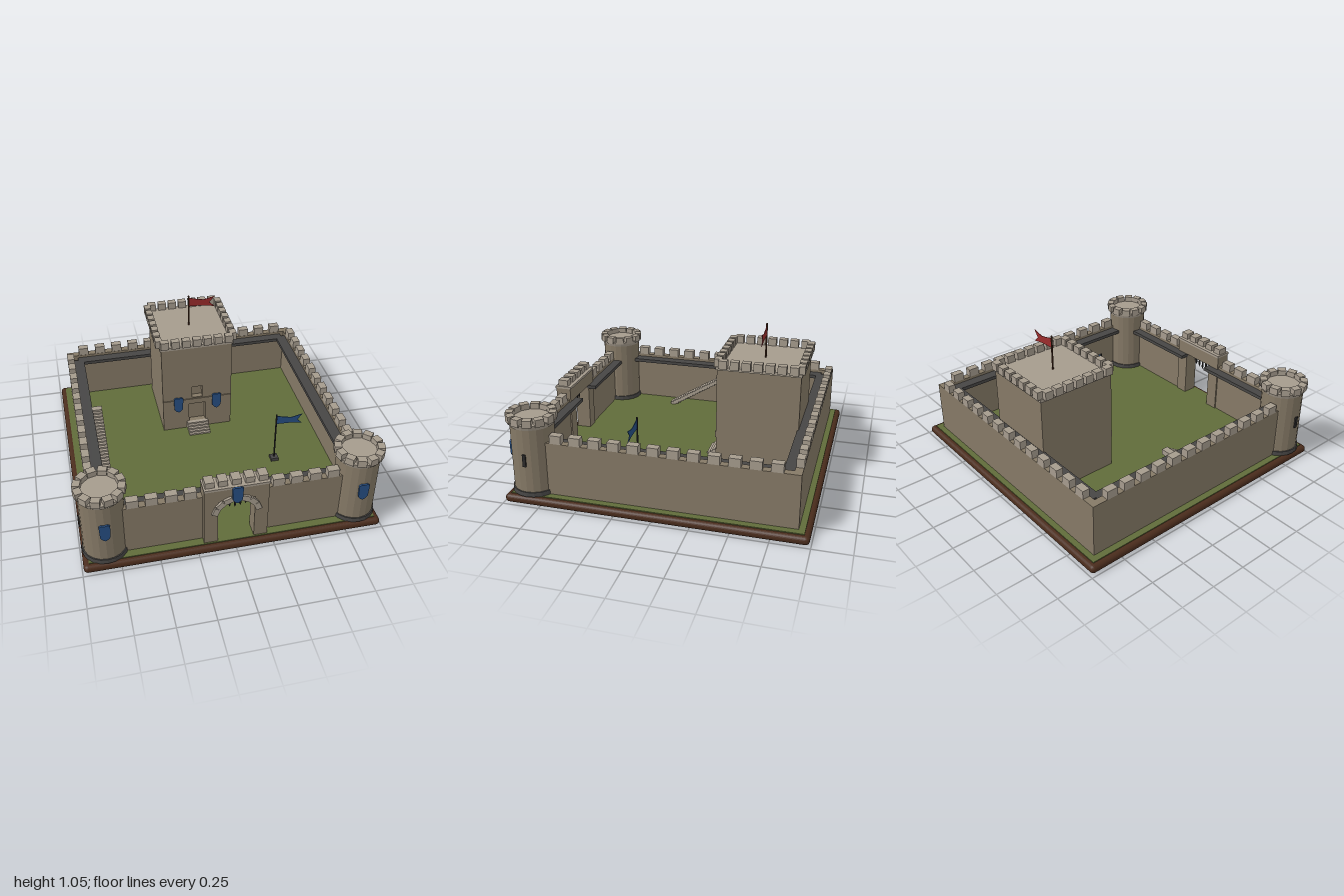
import * as THREE from 'three';
import { RoundedBoxGeometry } from 'three/addons/geometries/RoundedBoxGeometry.js';

const mat = (color, side = THREE.FrontSide) =>
  new THREE.MeshStandardMaterial({ color, side, flatShading: true });

export function createModel() {
  const root = new THREE.Group();
  const stone = mat(0x857966), light = mat(0xa59b8d), dark = mat(0x474645);
  const wood = mat(0x4a2c1c), grass = mat(0x606c3a), iron = mat(0x2c2b2b);
  const blue = mat(0x264e82, THREE.DoubleSide), red = mat(0x9a2c2c, THREE.DoubleSide);
  const GROUND = 0.066, WALL = 0.43;

  const group = (name, parent = root) => {
    const g = new THREE.Group();
    g.name = name;
    parent.add(g);
    return g;
  };
  const add = (parent, name, geo, m, x = 0, y = 0, z = 0) => {
    const mesh = new THREE.Mesh(geo, m);
    mesh.name = name;
    mesh.position.set(x, y, z);
    parent.add(mesh);
    return mesh;
  };
  // Box given by its lower and upper limits on each axis
  const box = (parent, name, m, x0, x1, y0, y1, z0, z1) =>
    add(parent, name, new THREE.BoxGeometry(x1 - x0, y1 - y0, z1 - z0), m,
      (x0 + x1) / 2, (y0 + y1) / 2, (z0 + z1) / 2);
  const polygon = pts => new THREE.Shape(pts.map(p => new THREE.Vector2(...p)));
  const plate = (shape, depth) => new THREE.ExtrudeGeometry(shape, { depth, bevelEnabled: false });

  // Shields and swallow-tailed flags
  const shieldGeo = plate(polygon([[-0.035, 0.055], [-0.02, 0.065], [0, 0.06], [0.02, 0.065], [0.035, 0.055],
    [0.032, -0.035], [0.018, -0.055], [0, -0.065], [-0.018, -0.055], [-0.032, -0.035]]), 0.012);
  const shield = (parent, x, y, z) => add(parent, 'shield', shieldGeo, blue, x, y, z);
  const flagGeo = plate(polygon([[0, 0.035], [0.06, 0.018], [0.11, 0.008], [0.19, 0.025],
    [0.155, -0.018], [0.19, -0.055], [0.11, -0.04], [0, -0.035]]), 0.004);
  const flag = (parent, m, poleMat, x, z, y0, y1, flagY) => {
    add(parent, 'flagPole', new THREE.CylinderGeometry(0.006, 0.006, y1 - y0, 8), poleMat, x, (y0 + y1) / 2, z);
    add(parent, 'flag', flagGeo, m, x, flagY, z - 0.002);
  };

  // Base board and lawn
  const base = group('base');
  add(base, 'baseBoard', new RoundedBoxGeometry(1.98, 0.056, 1.98, 3, 0.026), wood, 0, 0.032, 0);
  box(base, 'baseUnderside', mat(0x2a1b12), -0.96, 0.96, 0, 0.02, -0.96, 0.96);
  box(base, 'lawn', grass, -0.955, 0.955, 0.04, GROUND, -0.955, 0.955);

  // Curtain walls with merlons and inner walkways
  const walls = group('curtainWalls');
  box(walls, 'backWall', stone, -0.91, 0.91, GROUND, WALL, -0.915, -0.865);
  box(walls, 'backWalkway', dark, -0.83, 0.83, 0.385, 0.41, -0.866, -0.795);
  for (let i = -6; i <= 6; i++)
    box(walls, 'backMerlon', light, i * 0.13 - 0.037, i * 0.13 + 0.037, WALL, 0.487, -0.917, -0.867);
  for (const s of [-1, 1]) {
    const span = (a, b) => (s > 0 ? [a, b] : [-b, -a]);
    box(walls, 'sideWall', stone, ...span(0.86, 0.91), GROUND, WALL, -0.9, 0.75);
    box(walls, 'sideWalkway', dark, ...span(0.785, 0.861), 0.385, 0.41, -0.83, 0.7);
    for (let i = 0; i < 12; i++) {
      const z = 0.643 - i * 0.1285;
      box(walls, 'sideMerlon', light, ...span(0.86, 0.912), WALL, 0.487, z - 0.038, z + 0.038);
    }
    box(walls, 'frontWall', stone, ...span(0.2, 0.75), GROUND, WALL, 0.85, 0.9);
    box(walls, 'frontWalkway', dark, ...span(0.12, 0.7), 0.385, 0.41, 0.785, 0.851);
    for (const x of [0.285, 0.405, 0.53, 0.65])
      box(walls, 'frontMerlon', light, ...span(x - 0.039, x + 0.039), WALL, 0.487, 0.85, 0.902);
  }

  // Round corner towers
  for (const s of [-1, 1]) {
    const t = group(s > 0 ? 'leftTower' : 'rightTower');
    t.position.set(s * 0.835, 0, 0.83);
    const drum = (name, m, r0, r1, y0, y1) =>
      add(t, name, new THREE.CylinderGeometry(r1, r0, y1 - y0, 20), m, 0, (y0 + y1) / 2, 0);
    drum('towerFoot', dark, 0.153, 0.15, GROUND, 0.096);
    drum('towerBody', stone, 0.142, 0.142, 0.09, 0.54);
    drum('towerCrown', light, 0.148, 0.16, 0.535, 0.57);
    for (let i = 0; i < 12; i++) {
      const a = (i + 0.5) * Math.PI / 6;
      const m = add(t, 'towerMerlon', new THREE.BoxGeometry(0.058, 0.05, 0.048), light,
        0.138 * Math.sin(a), 0.583, 0.138 * Math.cos(a));
      m.rotation.y = a;
    }
    shield(t, 0, 0.335, 0.142);
    box(t, 'arrowSlit', iron, s * 0.142 - 0.008, s * 0.142 + 0.008, 0.28, 0.365, -0.011, 0.011);
  }

  // Gatehouse with arch stones and portcullis
  const gate = group('gatehouse');
  for (const s of [-1, 1])
    box(gate, 'gatePillar', stone, s * 0.165 - 0.045, s * 0.165 + 0.045, GROUND, 0.42, 0.84, 0.945);
  box(gate, 'gateLintel', stone, -0.21, 0.21, 0.41, 0.51, 0.84, 0.945);
  box(gate, 'gateRoof', light, -0.213, 0.213, 0.508, 0.524, 0.834, 0.95);
  for (let i = -2; i <= 2; i++)
    box(gate, 'gateMerlon', light, i * 0.086 - 0.03, i * 0.086 + 0.03, 0.52, 0.568, 0.86, 0.93);
  for (let i = -3; i <= 3; i++) {
    const a = i * 0.4;
    const m = add(gate, 'archStone', new THREE.BoxGeometry(0.056, 0.04, 0.03), light,
      0.145 * Math.sin(a), 0.285 + 0.145 * Math.cos(a), 0.946);
    m.rotation.z = -a;
  }
  for (let i = -2; i <= 2; i++) {
    const drop = 0.325 + Math.abs(i) * 0.008;
    box(gate, 'portcullisBar', iron, i * 0.035 - 0.005, i * 0.035 + 0.005, drop, 0.42, 0.895, 0.905);
    add(gate, 'portcullisTip', new THREE.ConeGeometry(0.008, 0.022, 4), iron, i * 0.035, drop - 0.01, 0.9)
      .rotation.x = Math.PI;
  }
  box(gate, 'portcullisRail', iron, -0.12, 0.12, 0.375, 0.385, 0.896, 0.904);
  shield(gate, 0, 0.465, 0.956);

  // Keep: main block plus a front skin pierced by door and window
  const keep = group('keep');
  box(keep, 'keepBody', stone, -0.26, 0.26, GROUND, 0.79, -0.805, -0.285);
  const rect = (x, y0, y1) => [[-x, y0], [x, y0], [x, y1], [-x, y1]];
  const front = polygon(rect(0.26, GROUND, 0.79));
  front.holes.push(polygon(rect(0.063, 0.125, 0.29)), polygon(rect(0.04, 0.345, 0.44)));
  add(keep, 'keepFront', plate(front, 0.04), stone, 0, 0, -0.285);
  box(keep, 'keepBand', stone, -0.26, 0.26, 0.292, 0.335, -0.25, -0.238);
  for (const s of [-1, 1]) shield(keep, s * 0.145, 0.3, -0.236);
  box(keep, 'keepRoof', light, -0.27, 0.27, 0.785, 0.808, -0.812, -0.238);
  for (let i = -3; i <= 3; i++) for (const z of [-0.803, -0.25])
    box(keep, 'keepMerlon', light, i * 0.078 - 0.029, i * 0.078 + 0.029, 0.803, 0.86, z - 0.024, z + 0.024);
  for (let i = 0; i < 7; i++) for (const x of [-0.272, 0.272]) {
    const z = -0.29 - i * 0.0785;
    box(keep, 'keepMerlon', light, x - 0.024, x + 0.024, 0.803, 0.86, z - 0.029, z + 0.029);
  }
  for (let i = 0; i < 5; i++)
    box(keep, 'doorStep', light, -0.08, 0.08, GROUND, 0.078 + i * 0.012, -0.245, -0.14 - i * 0.019);
  flag(keep, red, wood, 0, -0.525, 0.8, 1.05, 1.0);

  // Stair up to the right-hand walkway
  const stair = group('wallStair');
  const STEPS = 26;
  for (let i = 0; i < STEPS; i++) {
    const z = 0.37 - i * 0.0203, y = 0.085 + i * 0.0125;
    box(stair, 'stairStep', light, -0.787, -0.718, Math.max(GROUND, y - 0.035), y, z - 0.0215, z);
  }
  box(stair, 'stairLanding', light, -0.787, -0.718, 0.375, 0.412, -0.2, -0.155);

  // Courtyard banner
  const banner = group('courtyardBanner');
  box(banner, 'bannerFoot', dark, 0.438, 0.492, GROUND, 0.09, 0.223, 0.277);
  flag(banner, blue, iron, 0.465, 0.25, GROUND, 0.47, 0.425);

  return root;
}
